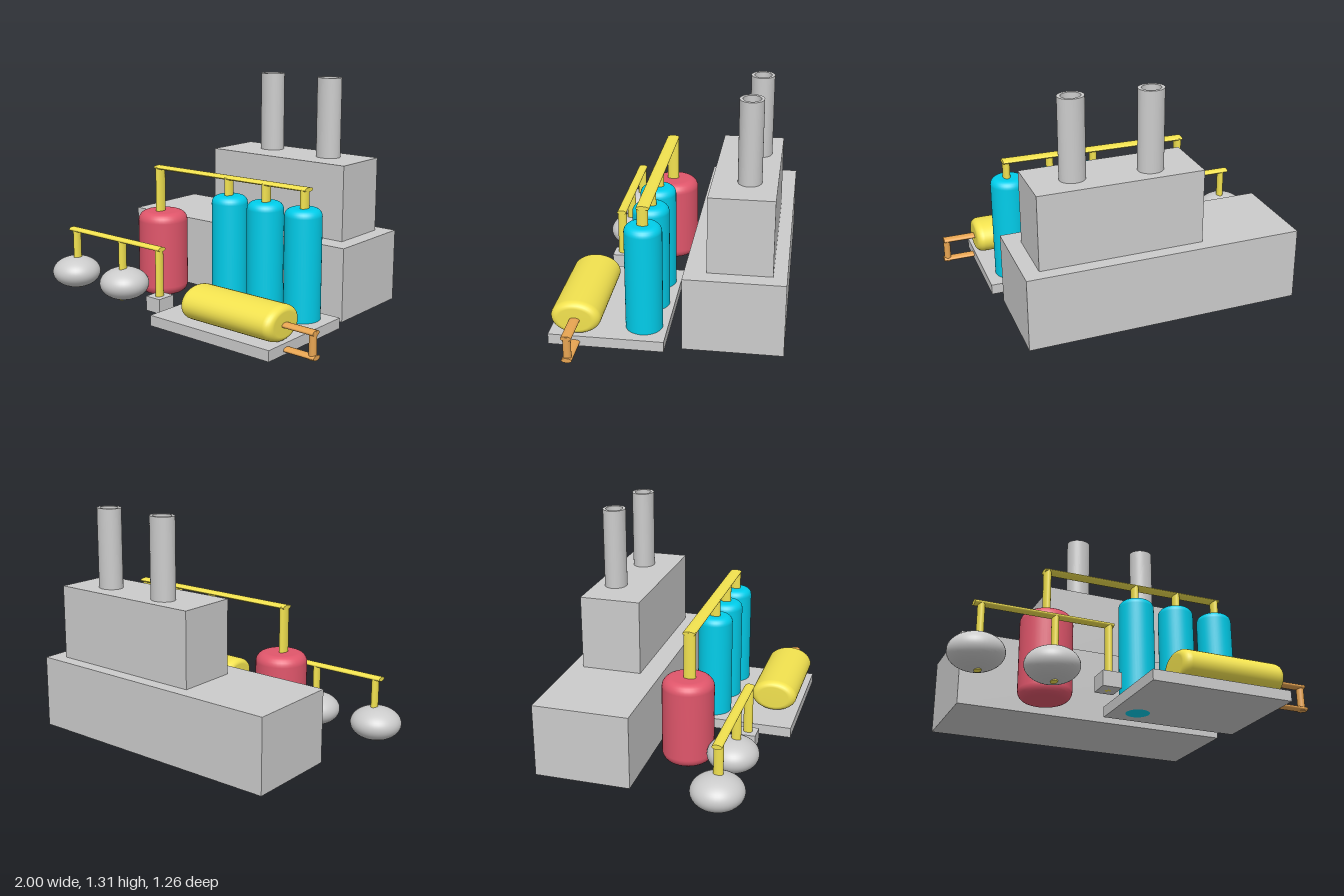
import * as THREE from 'three';

const mat = (color) => new THREE.MeshStandardMaterial({ color });

export function createModel() {
  const model = new THREE.Group();
  const grey = mat(0xcccccc), cyan = mat(0x00cdea), red = mat(0xe0566b);
  const yellow = mat(0xf2e24f), orange = mat(0xe8a552);

  function add(name, geometry, material, x, y, z) {
    const mesh = new THREE.Mesh(geometry, material);
    mesh.name = name;
    mesh.position.set(x, y, z);
    model.add(mesh);
    return mesh;
  }

  // Box given by its limits on each axis
  function block(name, [x0, x1], [y0, y1], [z0, z1]) {
    add(name, new THREE.BoxGeometry(x1 - x0, y1 - y0, z1 - z0), grey,
      (x0 + x1) / 2, (y0 + y1) / 2, (z0 + z1) / 2);
  }

  // Cylinder with rounded rims, standing on its base
  function tankGeometry(radius, height, round) {
    const points = [new THREE.Vector2(0, 0)];
    for (const end of [0, 1]) {
      for (let i = 0; i <= 6; i++) {
        const a = (end * 6 + i) * Math.PI / 12 - Math.PI / 2;
        points.push(new THREE.Vector2(
          radius - round + Math.cos(a) * round,
          (end ? height - round : round) + Math.sin(a) * round));
      }
    }
    points.push(new THREE.Vector2(0, height));
    return new THREE.LatheGeometry(points, 40);
  }

  // Upright pipe with an oval section
  function riser(name, material, x, y0, y1, z, rx, rz) {
    const g = new THREE.CylinderGeometry(1, 1, y1 - y0, 24).scale(rx, 1, rz);
    add(name, g, material, x, (y0 + y1) / 2, z);
  }

  // Lying pipe along x with a flattened section, optionally sloping
  function header(name, material, x0, x1, y0, y1, z, ry, rz) {
    const g = new THREE.CylinderGeometry(1, 1, x1 - x0, 24)
      .rotateZ(Math.PI / 2).scale(1, ry, rz);
    const pipe = add(name, g, material, (x0 + x1) / 2, (y0 + y1) / 2, z);
    pipe.rotation.z = Math.atan2(y1 - y0, x1 - x0);
  }

  // Plant building
  block('lowerBuilding', [-0.81, 0.77], [0, 0.42], [-0.635, -0.09]);
  block('upperBuilding', [-0.255, 0.68], [0.42, 0.85], [-0.56, -0.21]);

  // Hollow chimneys
  const ring = new THREE.Shape().absellipse(0, 0, 0.073, 0.065, 0, Math.PI * 2);
  ring.holes.push(new THREE.Path().absellipse(0, 0, 0.054, 0.048, 0, Math.PI * 2));
  const chimney = new THREE.ExtrudeGeometry(ring,
    { depth: 0.46, bevelEnabled: false, curveSegments: 32 }).rotateX(-Math.PI / 2);
  add('chimneyRight', chimney, grey, 0.01, 0.85, -0.44);
  add('chimneyLeft', chimney, grey, 0.44, 0.85, -0.41);

  // Platform with three upright tanks
  block('platform', [0, 0.815], [0, 0.06], [0, 0.63]);
  [0.147, 0.4, 0.655].forEach((x, i) => {
    const base = i === 0 ? -0.001 : 0.004;
    add('uprightTank' + (i + 1), tankGeometry(0.102, 0.67 - base, 0.042), cyan, x, base, 0.13);
    riser('tankRiser' + (i + 1), yellow, [0.14, 0.405, 0.662][i], 0.6, 0.772, 0.13, 0.021, 0.031);
  });

  // Large vessel and the overhead pipe
  add('largeVessel', tankGeometry(0.147, 0.5, 0.055), red, -0.39, 0, 0.115);
  riser('vesselRiser', yellow, -0.397, 0.4, 0.768, 0.125, 0.021, 0.035);
  header('overheadPipe', yellow, -0.417, 0.685, 0.763, 0.771, 0.125, 0.012, 0.036);

  // Lying oval tank
  const lying = tankGeometry(1, 0.61, 0.04);
  lying.dispose();
  const oval = tankGeometry(0.137, 0.61, 0.045).rotateZ(-Math.PI / 2).scale(1, 0.7, 1);
  add('lyingTank', oval, yellow, 0.195, 0.153, 0.482);

  // Outlet pipes on the lying tank
  header('outletPipe', orange, 0.78, 0.993, 0.151, 0.151, 0.482, 0.014, 0.029);
  riser('outletDrop', orange, 0.975, 0.012, 0.16, 0.482, 0.02, 0.022);
  header('returnPipe', orange, 0.8, 1, 0.024, 0.024, 0.482, 0.013, 0.028);

  // Flattened storage spheres, valve box and their pipes
  const sphere = new THREE.SphereGeometry(1, 40, 28).scale(0.147, 0.095, 0.146);
  add('storageSphere1', sphere, grey, -0.855, 0.097, 0.405);
  add('storageSphere2', sphere, grey, -0.45, 0.097, 0.39);
  block('valveBox', [-0.2, -0.095], [0, 0.085], [0.345, 0.46]);
  [-0.842, -0.445, -0.145].forEach((x, i) =>
    riser('sphereRiser' + (i + 1), yellow, x, 0, 0.365, 0.405, 0.019, 0.027));
  header('spherePipe', yellow, -0.882, -0.122, 0.362, 0.362, 0.405, 0.013, 0.028);

  return model;
}
